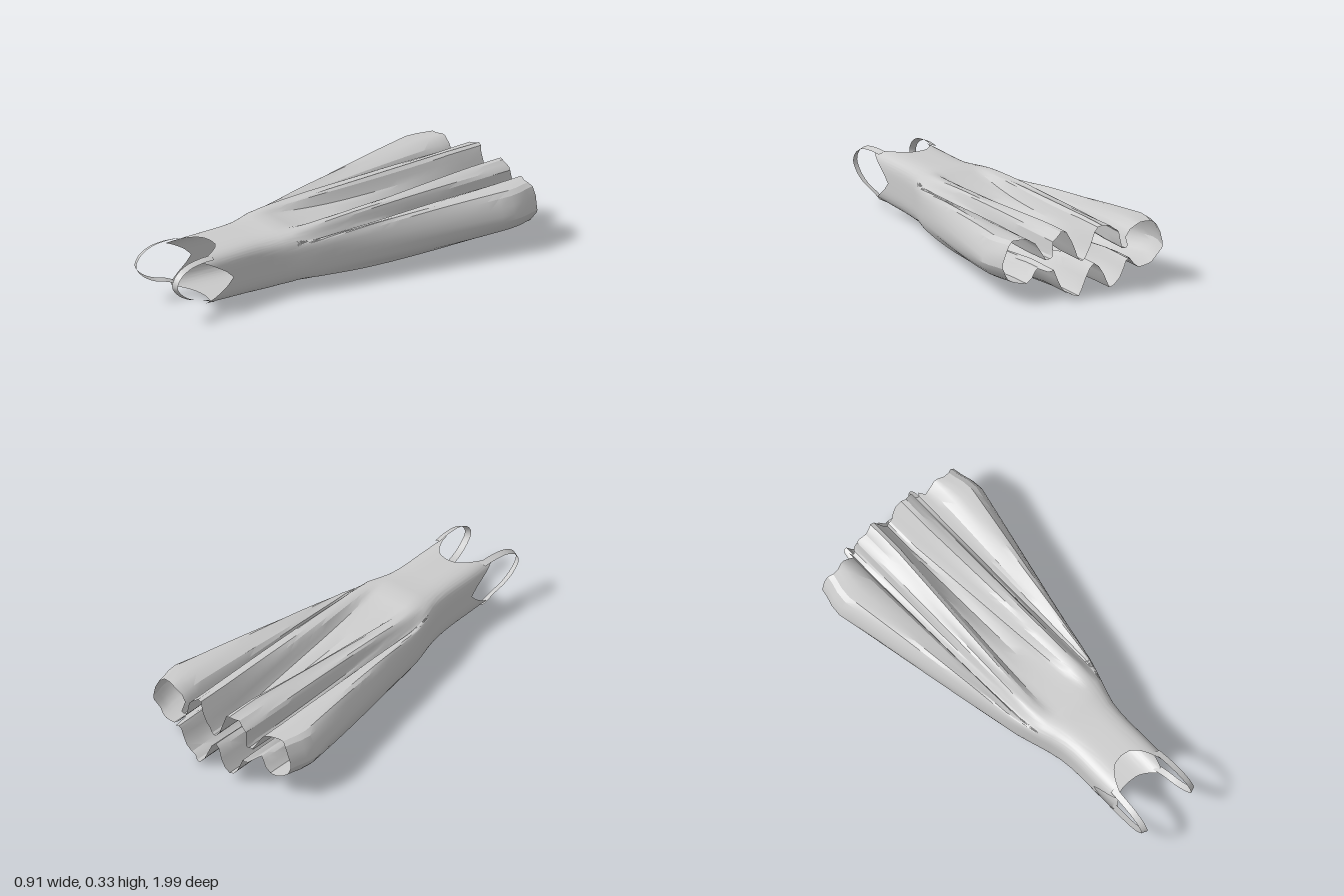
import * as THREE from 'three';
import { toCreasedNormals } from 'three/addons/utils/BufferGeometryUtils.js';

const cloth = new THREE.MeshStandardMaterial({ color: 0xcccccc, side: THREE.DoubleSide });
const { lerp, clamp, smoothstep } = THREE.MathUtils;
const HALF = 50; // columns from the middle of the upper side round to the middle of the underside

// Half outline of the pleated skirt near the hem, from upper centre to lower centre
const pleats = new THREE.CatmullRomCurve3([
  [0, 0.19], [0.03, 0.21], [0.065, 0.29], [0.125, 0.322], [0.17, 0.29], [0.185, 0.22],
  [0.21, 0.195], [0.235, 0.26], [0.33, 0.31], [0.41, 0.29], [0.455, 0.2],
  [0.435, 0.1], [0.38, 0.04], [0.29, 0.04], [0.235, 0.11], [0.205, 0.15],
  [0.175, 0.06], [0.11, -0.03], [0.06, 0.02], [0, 0.1],
].map(([x, y]) => new THREE.Vector3(x, y, 0)));

// Piecewise linear lookup
function lookup(table, z) {
  for (let i = 1; i < table.length; i++) {
    const [z0, v0] = table[i - 1], [z1, v1] = table[i];
    if (z >= z1) return lerp(v0, v1, clamp((z - z0) / (z1 - z0), 0, 1));
  }
  return table[table.length - 1][1];
}
const bodiceWidth = [[0.66, 0.163], [0.52, 0.161], [0.42, 0.172], [0.3, 0.212], [0.2, 0.222]];
const bodiceTop = [[0.75, 0.3], [0.45, 0.298], [0.3, 0.308]];
const bodiceFloor = [[0.75, 0.043], [0.45, 0.028], [0.3, 0.04]];

// Neckline scoops and armholes: how far the cloth reaches at angle a (0 = upper centre)
function neckEnd(a) {
  const upper = a < Math.PI / 2;
  const [scoop, peak] = upper ? [0.67, 0.83] : [0.72, 0.8];
  const s = Math.sin(a) / Math.SQRT1_2, c = Math.abs(Math.cos(a)) / Math.SQRT1_2;
  return s < 1 ? lerp(scoop, peak, s ** 1.3) : lerp(0.66, peak, c ** 0.65);
}

// Hem: side lobes are shortest, the lower centre is longest, with a ragged edge
function hemEnd(u, x, k) {
  const base = x > 0.225 ? -0.905 : u < 0.5 ? -0.94 : -0.98;
  return base + 0.006 * Math.sin(k * 0.9) + 0.005 * Math.sin(k * 1.7 + 1);
}

// Point of the garment at column fraction u (0..1) on one side, at length z
function section(u, z, side) {
  const a = u * Math.PI, c = Math.cos(a);
  const top = lookup(bodiceTop, z), floor = lookup(bodiceFloor, z);
  const ex = lookup(bodiceWidth, z) * Math.sqrt(Math.sin(a));
  const ey = (top + floor) / 2 + (top - floor) / 2 * Math.sign(c) * Math.sqrt(Math.abs(c));
  const t = clamp((0.3 - z) / 1.07, 0, 1);
  const p = pleats.getPoint(u);
  const lift = 0.06 * t * t * smoothstep(0.2 - p.y, 0, 0.15);
  const crease = 0.006 * Math.sin(u * 75 + z * 3) * smoothstep(t, 0, 0.4);
  // middle fold sags on the left and rises on the right
  const sag = p.x < 0.1 ? 0.05 * t * t * Math.sin(Math.PI * p.x / 0.1) * side : 0;
  const x = lerp(ex, p.x, t) * (1 - 0.07 * smoothstep(-z, 0.77, 0.92) * (p.x > 0.3 ? 1 : 0));
  return [x * side, lerp(ey, p.y, t ** 0.6) + lift + crease - sag];
}

// Dress body: one hollow sheet lofted from neckline to hem
function dressBody() {
  const stations = [];
  for (let z = 0.62; z > -0.86; z -= 0.06) stations.push(z);
  const rows = stations.length + 6, cols = HALF * 2;
  const pos = [], index = [];
  for (let r = 0; r < rows; r++) {
    for (let j = 0; j < cols; j++) {
      const k = j <= HALF ? j : cols - j, side = j <= HALF ? 1 : -1;
      const u = k / HALF;
      let z;
      if (r < 4) z = lerp(neckEnd(u * Math.PI), 0.62, r / 4);
      else if (r - 4 < stations.length) z = stations[r - 4];
      else z = lerp(stations.at(-1), hemEnd(u, pleats.getPoint(u).x, k), (r - 3 - stations.length) / 2);
      const [x, y] = section(u, z, side);
      pos.push(x, y, z);
    }
  }
  for (let r = 0; r < rows - 1; r++) {
    for (let j = 0; j < cols; j++) {
      const a = r * cols + j, b = r * cols + (j + 1) % cols;
      index.push(a, b, a + cols, b, b + cols, a + cols);
    }
  }
  const g = new THREE.BufferGeometry();
  g.setAttribute('position', new THREE.Float32BufferAttribute(pos, 3));
  g.setIndex(index);
  return toCreasedNormals(g, 0.45);
}

// Shoulder strap: a thin ribbon looping over the armhole, its outer edge rolled inward
function strapRibbon(side) {
  const path = new THREE.CatmullRomCurve3([
    [0.75, 0.052], [0.82, 0.083], [0.9, 0.108], [0.965, 0.15], [0.998, 0.2],
    [0.975, 0.25], [0.915, 0.284], [0.83, 0.295], [0.76, 0.292],
  ].map(([z, y]) => new THREE.Vector3(0, y, z)));
  const n = 40, pos = [], index = [];
  for (let i = 0; i <= n; i++) {
    const p = path.getPoint(i / n), bow = Math.sin(Math.PI * i / n);
    const inner = 0.122 + 0.016 * bow, outer = 0.153 + 0.013 * bow;
    pos.push(side * inner, p.y, p.z);
    pos.push(side * outer, lerp(p.y, 0.19, 0.11), lerp(p.z, 0.83, 0.07));
    if (i < n) {
      const a = i * 2;
      if (side > 0) index.push(a, a + 1, a + 2, a + 1, a + 3, a + 2);
      else index.push(a, a + 2, a + 1, a + 1, a + 2, a + 3);
    }
  }
  const g = new THREE.BufferGeometry();
  g.setAttribute('position', new THREE.Float32BufferAttribute(pos, 3));
  g.setIndex(index);
  g.computeVertexNormals();
  return g;
}

export function createModel() {
  const group = new THREE.Group();
  group.name = 'dress';
  const add = (name, geometry) => {
    const mesh = new THREE.Mesh(geometry, cloth);
    mesh.name = name;
    group.add(mesh);
  };
  add('bodiceAndSkirt', dressBody());
  add('leftStrap', strapRibbon(1));
  add('rightStrap', strapRibbon(-1));
  return group;
}
